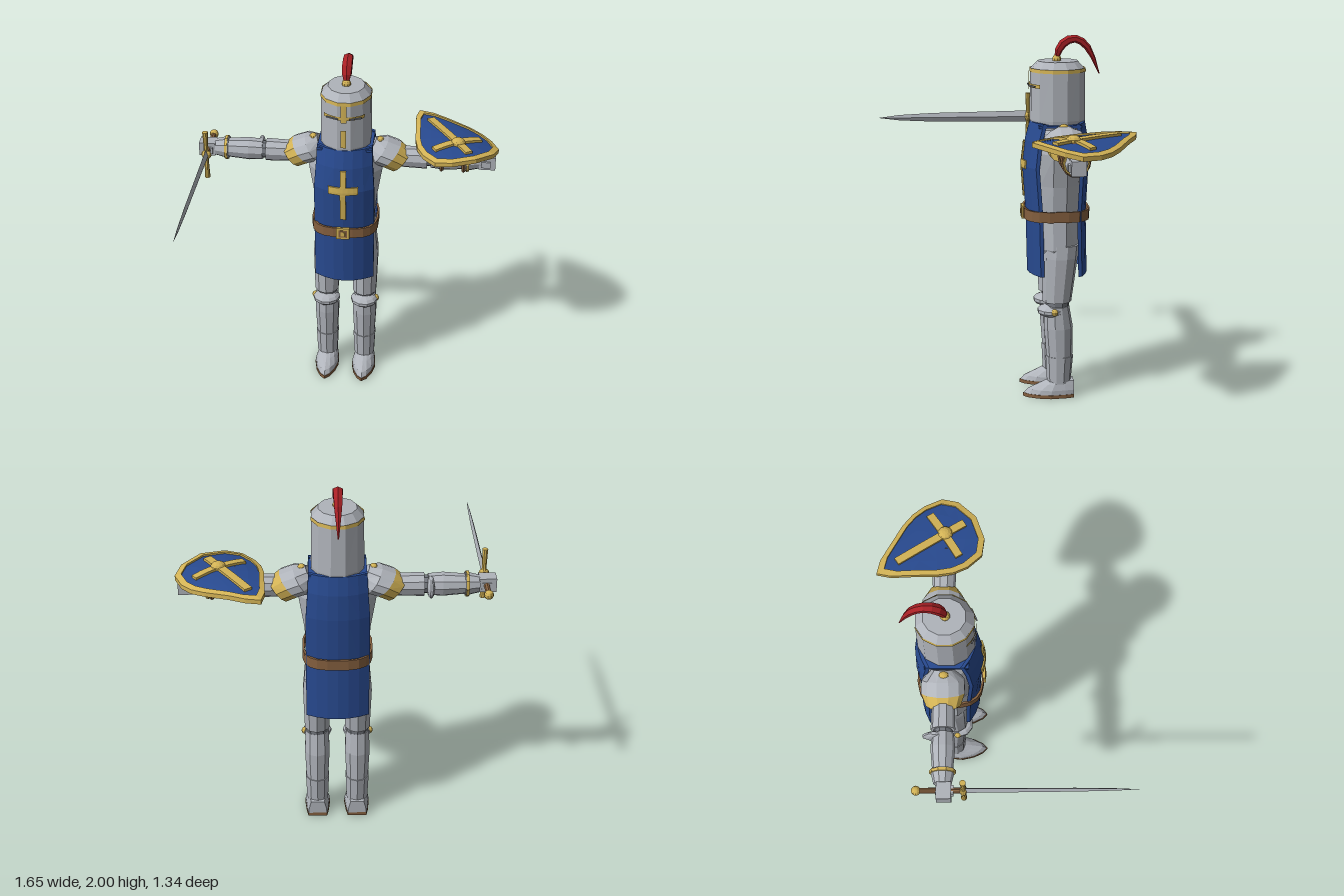
import * as THREE from 'three';

const V = (x, y, z) => new THREE.Vector3(x, y, z);
const paint = (name, color) => Object.assign(
  new THREE.MeshStandardMaterial({ color, flatShading: true, side: THREE.DoubleSide }), { name });

// Closed cross-section around centre c, spanned by half-axes a and b
function ring(c, a, b, n = 12, power = 2) {
  const bend = t => Math.sign(t) * Math.abs(t) ** (2 / power);
  return Array.from({ length: n }, (_, i) => {
    const t = (i + 0.5) / n * Math.PI * 2;
    return c.clone().addScaledVector(a, bend(Math.cos(t))).addScaledVector(b, bend(Math.sin(t)));
  });
}
const flat = (y, rx, rz, cz = 0, cx = 0, n = 12, p = 2) => ring(V(cx, y, cz), V(rx, 0, 0), V(0, 0, rz), n, p);
const across = (x, r, y = 1.43, z = -0.02, n = 10) => ring(V(x, y, z), V(0, r, 0), V(0, 0, r), n);

// Skin over a row of equal cross-sections, with optional end caps
function loft(rings, caps = true) {
  const n = rings[0].length, pos = [], idx = [];
  rings.forEach(r => r.forEach(p => pos.push(p.x, p.y, p.z)));
  for (let k = 0; k < rings.length - 1; k++) for (let i = 0; i < n; i++) {
    const a = k * n + i, b = k * n + (i + 1) % n;
    idx.push(a, a + n, b, b, a + n, b + n);
  }
  if (caps) [0, rings.length - 1].forEach(k => {
    const c = rings[k].reduce((s, p) => s.add(p), V(0, 0, 0)).divideScalar(n), m = pos.length / 3;
    pos.push(c.x, c.y, c.z);
    for (let i = 0; i < n; i++) {
      const a = k * n + i, b = k * n + (i + 1) % n;
      k ? idx.push(a, m, b) : idx.push(a, b, m);
    }
  });
  const g = new THREE.BufferGeometry();
  g.setAttribute('position', new THREE.Float32BufferAttribute(pos, 3));
  g.setIndex(idx);
  g.computeVertexNormals();
  return g;
}

// Moves every vertex of a geometry by a rule
function warp(g, rule) {
  const p = g.attributes.position;
  for (let i = 0; i < p.count; i++) p.setXYZ(i, ...rule(p.getX(i), p.getY(i), p.getZ(i)));
  g.computeVertexNormals();
  return g;
}

export function createModel() {
  const model = new THREE.Group(), knight = new THREE.Group();
  model.name = 'model';
  knight.name = 'knight';
  knight.position.set(-0.01, 0, -0.31);
  model.add(knight);

  const steel = paint('steel', 0xb0b4bb), dark = paint('dark steel', 0x74787f);
  const gold = paint('gold', 0xd2b255), blue = paint('blue cloth', 0x284a90);
  const brown = paint('leather', 0x85603f), wood = paint('dark wood', 0x4f3826), red = paint('red', 0xa82025);
  const add = (name, geo, mat, x = 0, y = 0, z = 0) => {
    const m = new THREE.Mesh(geo, mat);
    m.name = name;
    m.position.set(x, y, z);
    knight.add(m);
    return m;
  };
  const box = (w, h, d) => new THREE.BoxGeometry(w, h, d);
  const ball = (r, sx = 1, sy = 1, sz = 1) => new THREE.SphereGeometry(r, 10, 7).scale(sx, sy, sz);

  // Helmet
  add('helmet', loft([flat(1.5, 0.135, 0.148), flat(1.55, 0.141, 0.152), flat(1.82, 0.137, 0.15), flat(1.862, 0.1, 0.11)]), steel);
  add('helmetBand', loft([flat(1.806, 0.141, 0.154), flat(1.826, 0.139, 0.152)], false), gold);
  const arcPlate = (name, y, h, angle) => add(name,
    new THREE.CylinderGeometry(0.156, 0.156, h, 8, 1, true, -angle, angle * 2).scale(0.95, 1, 1), gold, 0, y);
  arcPlate('visorBrow', 1.735, 0.02, 0.82);
  arcPlate('visorRidge', 1.76, 0.1, 0.1);
  arcPlate('visorLowerRidge', 1.612, 0.105, 0.1);
  [-1, 1].forEach(s => add('eyeSlit', box(0.07, 0.008, 0.006), dark, s * 0.062, 1.734, 0.146).rotation.y = s * 0.4);

  // Plume
  add('plumeSocket', ball(0.025), gold, 0, 1.87, 0.005);
  const spine = new THREE.CatmullRomCurve3([[1.875, 0.005], [1.93, -0.01], [1.968, -0.048], [1.978, -0.095],
    [1.955, -0.14], [1.9, -0.18], [1.79, -0.225]].map(([y, z]) => V(0, y, z)));
  const thick = [0.012, 0.021, 0.024, 0.023, 0.021, 0.02, 0.018, 0.012, 0.003];
  add('plume', loft(thick.map((r, i) => {
    const t = spine.getTangent(i / 8);
    return ring(spine.getPoint(i / 8), V(r * 1.25, 0, 0), V(0, -t.z * r, t.y * r), 6);
  })), red);

  // Torso
  add('cuirass', loft([flat(1.04, 0.165, 0.14), flat(1.2, 0.18, 0.145), flat(1.38, 0.21, 0.145), flat(1.46, 0.19, 0.135), flat(1.53, 0.12, 0.11)]), steel);
  add('fauld', loft([flat(1.05, 0.168, 0.14), flat(0.85, 0.186, 0.135), flat(0.8, 0.16, 0.11)]), steel);
  add('neck', loft([flat(1.48, 0.1, 0.1), flat(1.56, 0.1, 0.1)]), dark);

  // Tabard: rows of height, half width, front depth, back depth
  const rows = [[1.54, 0.15, 0.15, 0.15], [1.44, 0.155, 0.175, 0.168], [1.3, 0.165, 0.19, 0.172],
    [1.04, 0.167, 0.17, 0.16], [0.7, 0.166, 0.16, 0.17]];
  const cloth = (x, w, depth, bulge) => depth - bulge * (x / w) ** 2;
  const panel = (name, side, col, bulge) => {
    const line = ([y, w, ...d], inset) => [-1, -0.67, -0.33, 0, 0.33, 0.67, 1]
      .map(u => V(u * w, y, side * (cloth(u * w, w, d[col], bulge) - inset)));
    const loop = (r, inset) => [...line(r, 0), ...line(r, inset).reverse()];
    add(name, loft([loop(rows[0], 0), ...rows.map(r => loop(r, 0.02)), loop(rows[4], 0)], false), blue);
  };
  panel('tabardFront', 1, 0, 0.06);
  panel('tabardBack', -1, 1, 0.045);
  [-1, 1].forEach(s => add('tabardShoulder', box(0.06, 0.014, 0.23), blue, s * 0.12, 1.525, 0));

  // Emblem laid on the curved cloth
  const clothFront = (x, y) => {
    const k = rows.findIndex(r => r[0] <= y), [a, b] = [rows[k - 1], rows[k]];
    const t = (a[0] - y) / (a[0] - b[0]), mix = i => a[i] + (b[i] - a[i]) * t;
    return cloth(x, mix(1), mix(2), 0.06);
  };
  [['emblemUpright', 0.032, 0.305, 1.278], ['emblemBar', 0.165, 0.044, 1.31]].forEach(([name, w, h, cy]) =>
    add(name, warp(new THREE.BoxGeometry(w, h, 0.008, 6, 6, 1),
      (x, y, z) => [x, y + cy, clothFront(x, y + cy) + 0.005 + z]), gold));

  // Belt
  const beltRing = (y, k) => flat(y, 0.175 + k, 0.17 + k, 0.004, 0, 20, 3);
  add('belt', loft([beltRing(1.008, 0), beltRing(1.008, 0.011), beltRing(1.066, 0.011), beltRing(1.066, 0)], false), brown);
  add('buckle', box(0.072, 0.07, 0.014), gold, 0, 1.037, 0.187);
  add('buckleInset', box(0.046, 0.044, 0.006), brown, 0, 1.037, 0.193);
  add('bucklePin', box(0.024, 0.024, 0.008), gold, 0, 1.037, 0.195);

  for (const s of [-1, 1]) {
    const side = s > 0 ? 'left' : 'right', x = s * 0.11;
    const part = (name, geo, mat, ...p) => add(side + name, geo, mat, ...p);

    // Leg
    part('Thigh', loft([flat(0.87, 0.072, 0.1, -0.015, x, 10), flat(0.8, 0.078, 0.098, -0.01, x, 10), flat(0.55, 0.07, 0.08, 0.005, x, 10)]), steel);
    part('KneeJoint', loft([flat(0.57, 0.06, 0.065, 0, x, 10), flat(0.46, 0.06, 0.062, 0.003, x, 10)]), dark);
    part('KneeCop', ball(0.08, 1, 0.47, 1.0), steel, x, 0.497, 0.035);
    part('KneeRivet', ball(0.02), gold, x + s * 0.066, 0.5, 0.025);
    part('Shin', loft([flat(0.525, 0.066, 0.068, 0.005, x, 10), flat(0.4, 0.071, 0.08, -0.005, x, 10),
      flat(0.22, 0.062, 0.072, -0.012, x, 10), flat(0.08, 0.058, 0.065, -0.01, x, 10)]), steel);
    part('AnkleCuff', loft([flat(0.235, 0.067, 0.077, -0.012, x, 10), flat(0.09, 0.061, 0.067, -0.01, x, 10)]), steel);

    // Shoe
    const half = [[0, 0.19], [0.028, 0.165], [0.055, 0.11], [0.07, 0.04], [0.062, -0.04], [0.052, -0.09]];
    const outline = [...half, ...half.slice(1).reverse().map(([a, b]) => [-a, b])];
    const shoe = (y, k, toe) => outline.map(([a, b]) => V(x + a * k, y, b > 0 ? b * toe : b));
    part('Sole', loft([shoe(0, 1, 1), shoe(0.02, 1, 1)]), brown);
    part('Shoe', loft([shoe(0.02, 0.97, 0.98), shoe(0.045, 0.95, 0.86), shoe(0.075, 0.8, 0.5), shoe(0.095, 0.7, 0.25)]), steel);

    // Shoulder guard: rings given by top and bottom points and half depth
    const tilt = (tx, ty, bx, by, h) => ring(V(s * (tx + bx) / 2, (ty + by) / 2, -0.02),
      V(s * (tx - bx) / 2, (ty - by) / 2, 0), V(0, 0, h), 12);
    const rim = tilt(0.352, 1.465, 0.25, 1.352, 0.092), mid = tilt(0.3, 1.508, 0.19, 1.385, 0.116);
    part('Pauldron', loft([mid, tilt(0.23, 1.535, 0.14, 1.4, 0.113), tilt(0.165, 1.54, 0.1, 1.42, 0.06)]), steel);
    part('PauldronTrim', loft([rim, mid], false), gold);
    part('PauldronRivet', ball(0.025, 0.8, 0.7, 1.1), gold, s * 0.185, 1.53, -0.015);

    // Arm
    part('UpperArm', loft([across(s * 0.2, 0.055), across(s * 0.34, 0.06), across(s * 0.445, 0.063)]), steel);
    part('ElbowJoint', loft([across(s * 0.43, 0.048), across(s * 0.49, 0.048)]), dark);
    part('ElbowCop', ball(0.08, 0.26, 0.72, 1), steel, s * 0.478, 1.43, -0.048);
    part('Forearm', loft([across(s * 0.465, 0.056), across(s * 0.54, 0.063), across(s * 0.67, 0.052)]), steel);
    part('Cuff', loft([across(s * 0.655, 0.064), across(s * 0.73, 0.046)]), steel);
    part('CuffTrim', loft([across(s * 0.66, 0.062), across(s * 0.66, 0.069), across(s * 0.675, 0.067), across(s * 0.675, 0.058)], false), gold);
    part('Hand', box(0.09, 0.075, 0.075), steel, s * 0.772, 1.433, -0.014);
    part('Fingers', box(0.05, 0.035, 0.09), steel, s * 0.765, 1.43, -0.01);
  }

  // Sword
  const sx = -0.765, sy = 1.435;
  add('blade', loft([[0.08, 0.034], [0.65, 0.026], [0.85, 0.016], [0.968, 0.001]].map(([z, h]) =>
    [V(sx + h * 0.38, sy, z), V(sx, sy + h, z), V(sx - h * 0.38, sy, z), V(sx, sy - h, z)])), steel);
  add('crossguard', loft([[-0.14, 0.016], [-0.1, 0.014], [-0.03, 0.012], [0, 0.02], [0.03, 0.012], [0.1, 0.014], [0.14, 0.016]]
    .map(([y, r]) => flat(sy + y, r, r, 0.085, sx, 8))), gold);
  add('guardBlock', ball(0.028, 1, 1, 0.7), gold, sx, sy, 0.085);
  add('grip', new THREE.CylinderGeometry(0.015, 0.015, 0.22, 8).rotateX(Math.PI / 2), brown, sx, sy, -0.03);
  add('pommel', ball(0.025), gold, sx, sy, -0.153);

  // Shield: u runs across it, v along it, both bent over the forearm
  const S = (u, v, dy) => V(0.608 + 0.845 * u + 0.535 * v,
    1.532 + dy - 0.75 * u * u - 0.08 * v * v - 0.05 * (0.845 * u + 0.535 * v), -0.01 - 0.535 * u + 0.845 * v);
  const edge = [[0, -0.426], [0.055, -0.37], [0.1, -0.29], [0.175, -0.16], [0.206, -0.08], [0.216, 0], [0.2, 0.1], [0.13, 0.16], [0, 0.19]];
  const outline = [...edge, ...edge.slice(1, -1).reverse().map(([u, v]) => [-u, v])];
  const shieldRing = (k, dy) => outline.map(([u, v]) => S(u * k, v * k - 0.06 * (1 - k), dy));
  add('shieldField', loft([0.01, 0.3, 0.6, 0.88].map(k => shieldRing(k, 0)), false), blue);
  add('shieldBack', loft([0.01, 0.3, 0.6, 0.96].map(k => shieldRing(k, -0.014)), false), wood);
  add('shieldRim', loft([[0.87, -0.004], [0.87, 0.01], [1, 0.006], [1, -0.018], [0.95, -0.018], [0.95, -0.01]]
    .map(([k, dy]) => shieldRing(k, dy)), false), gold);
  [['shieldUpright', 0.042, 0.42, -0.093], ['shieldBar', 0.292, 0.042, -0.008]].forEach(([name, w, l, v]) =>
    add(name, warp(new THREE.BoxGeometry(w, 0.016, l, 6, 1, 6), (x, y, z) => S(x, z + v, y + 0.005).toArray()), gold));
  add('shieldBoss', ball(0.04, 1, 0.7, 1), gold, 0.608, 1.537, -0.012);
  [0.525, 0.645].forEach(x => add('shieldStrap',
    new THREE.TorusGeometry(0.068, 0.011, 5, 14).rotateY(Math.PI / 2).scale(1, 1.15, 1), brown, x, 1.444, -0.02));

  return model;
}
